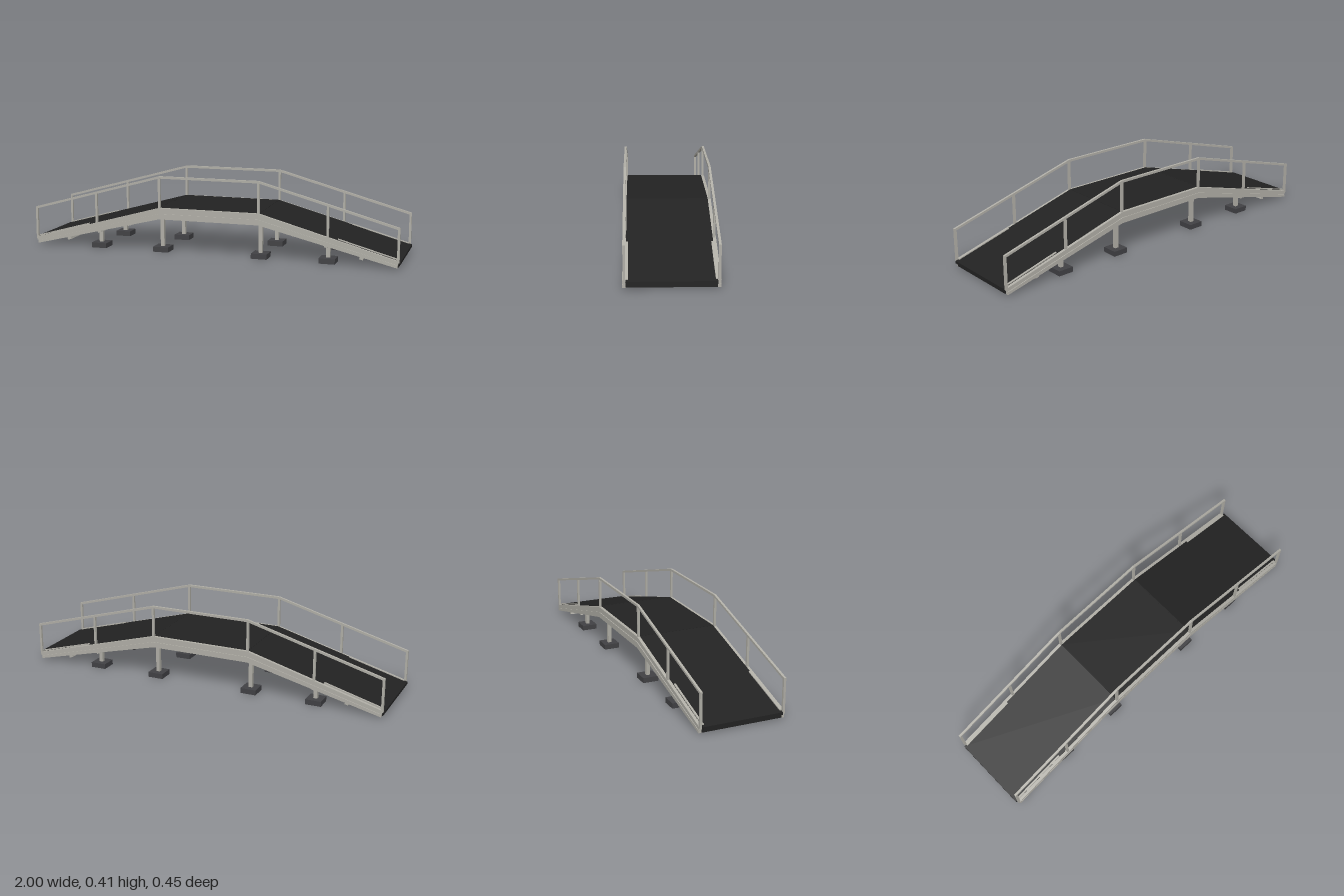
import * as THREE from 'three';

const SLOPE = 0.276, KNEE = 0.27;
// Height drop of the bridge at a given x
const drop = (x, slope = SLOPE) => Math.max(0, Math.abs(x) - KNEE) * slope;

export function createModel() {
  const steel = new THREE.MeshStandardMaterial({ color: 0xb0aea6 });
  steel.name = 'galvanised steel';
  const tread = new THREE.MeshStandardMaterial({ color: 0x222222 });
  tread.name = 'black tread';
  const rubber = new THREE.MeshStandardMaterial({ color: 0x414144 });
  rubber.name = 'dark rubber';

  const model = new THREE.Group();
  model.name = 'rampBridge';

  const add = (name, geometry, material, x = 0, y = 0, z = 0) => {
    const mesh = new THREE.Mesh(geometry, material);
    mesh.name = name;
    mesh.position.set(x, y, z);
    model.add(mesh);
    return mesh;
  };
  const box = (name, material, w, h, d, x, y, z) =>
    add(name, new THREE.BoxGeometry(w, h, d), material, x, y, z);

  // Side outline between two edges, extruded across z
  const band = (name, material, xs, top, bottom, z, depth) => {
    const pts = [
      ...xs.map(x => new THREE.Vector2(x, top(x))),
      ...[...xs].reverse().map(x => new THREE.Vector2(x, bottom(x))),
    ];
    const g = new THREE.ExtrudeGeometry(new THREE.Shape(pts), { depth, bevelEnabled: false });
    g.translate(0, 0, z - depth / 2);
    return add(name, g, material);
  };
  const span = end => [-end, -KNEE, KNEE, end];

  // Walking surface
  band('deck', tread, span(0.998), x => 0.242 - drop(x), x => 0.229 - drop(x), 0, 0.414);
  for (const s of [-1, 1]) {
    box('deckSeam', rubber, 0.005, 0.002, 0.41, s * KNEE, 0.2415, 0).material = tread;
    box('endPlate', tread, 0.01, 0.022, 0.414, s * 0.982, 0.021, 0);
  }

  for (const side of [-1, 1]) {
    const z = side * 0.215;

    // Side beam: web with an upper and a lower raised flange
    const low = x => 0.18 - drop(x, 0.243);
    band('beamWeb', steel, span(0.982), x => 0.238 - drop(x), x => low(x) + 0.002, side * 0.213, 0.012);
    band('beamUpperFlange', steel, span(0.985), x => 0.24 - drop(x), x => 0.216 - drop(x, 0.267), z, 0.016);
    band('beamLowerFlange', steel, span(0.982), x => 0.209 - drop(x, 0.263), low, z, 0.016);

    // Handrail and its posts
    const railY = x => 0.408 - drop(x);
    band('handrail', steel, span(0.991), railY, x => railY(x) - 0.012, z, 0.012);
    for (const x of [-0.985, -0.63, -KNEE, KNEE, 0.63, 0.985]) {
      const bottom = 0.23 - drop(x), top = railY(x) - 0.004;
      box('railPost', steel, 0.012, top - bottom, 0.012, x, (top + bottom) / 2, z);
    }

    for (const end of [-1, 1]) {
      // Low curb strip beside the ramp entry
      const xs = end < 0 ? [-0.983, -0.68] : [0.68, 0.983];
      band('entryCurb', steel, xs, x => 0.247 - drop(x), x => 0.232 - drop(x), side * 0.202, 0.01);

      // Support legs on foot pads
      for (const x of [KNEE, 0.625]) {
        const top = 0.19 - drop(x);
        box('supportLeg', steel, 0.02, top - 0.02, 0.02, end * x, (top + 0.02) / 2, side * 0.165);
        box('footPad', rubber, 0.084, 0.027, 0.084, end * x, 0.0135, side * 0.165);
      }
    }
  }

  // Cross beams under the ramps
  for (const end of [-1, 1]) {
    for (const x of [KNEE, 0.45, 0.625, 0.805]) {
      const beam = box('crossBeam', steel, 0.02, 0.046, 0.416, end * x, 0.205 - drop(x), 0);
      if (x > KNEE) beam.rotation.z = -end * Math.atan(SLOPE);
    }
  }

  return model;
}
